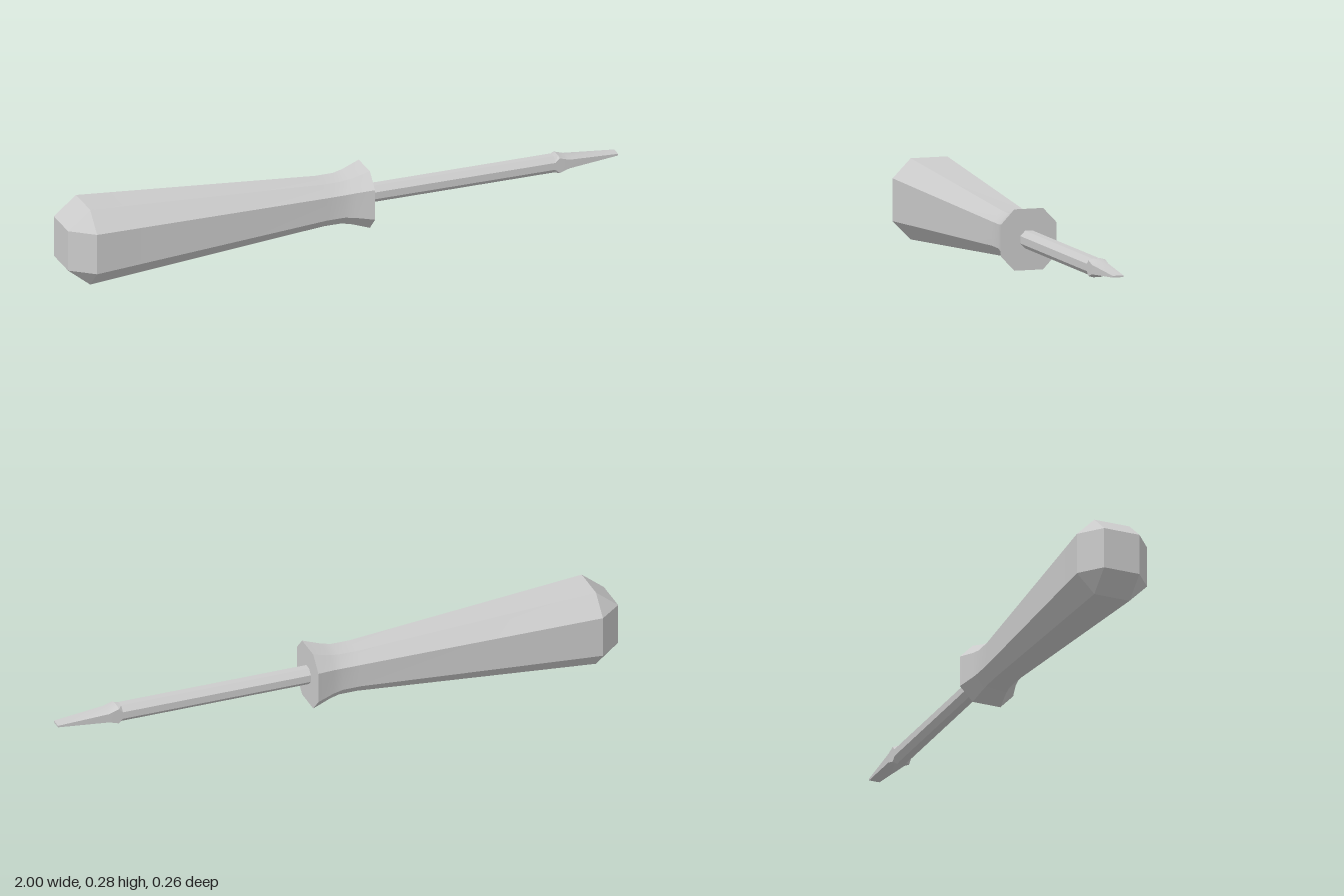
import * as THREE from 'three';
import { toCreasedNormals } from 'three/addons/utils/BufferGeometryUtils.js';

const AXIS_Y = 0.138;

// Eight-sided ring: half height h with flat half width b, half width w with flat half height d
function ring([x, h, b, w, d]) {
  return [[h, -b], [h, b], [d, w], [-d, w], [-h, b], [-h, -b], [-d, -w], [d, -w]]
    .map(([y, z]) => [x, y, z]);
}

// Skin a row of rings running along +x and close both ends
function loft(name, sections, material) {
  const rings = sections.map(ring);
  const pos = [];
  const tri = (...p) => p.forEach((v) => pos.push(...v));
  for (let s = 0; s < rings.length - 1; s++) {
    const a = rings[s], b = rings[s + 1];
    for (let i = 0; i < 8; i++) {
      const j = (i + 1) % 8;
      tri(a[i], a[j], b[i]);
      tri(a[j], b[j], b[i]);
    }
  }
  const first = rings[0], last = rings[rings.length - 1];
  for (let i = 0; i < 8; i++) {
    const j = (i + 1) % 8;
    tri([first[0][0], 0, 0], first[j], first[i]);
    tri([last[0][0], 0, 0], last[i], last[j]);
  }
  const geo = new THREE.BufferGeometry();
  geo.setAttribute('position', new THREE.Float32BufferAttribute(pos, 3));
  const mesh = new THREE.Mesh(toCreasedNormals(geo, 0.4), material);
  mesh.name = name;
  mesh.position.y = AXIS_Y;
  return mesh;
}

export function createModel() {
  const group = new THREE.Group();
  group.name = 'screwdriver';
  const grey = new THREE.MeshStandardMaterial({ color: 0xcccccc });

  // Tapered octagonal handle: square butt, wide grip, narrow neck, flared collar
  group.add(loft('handle', [
    [-1.0, 0.0725, 0.065, 0.065, 0.0725],
    [-0.92, 0.1375, 0.065, 0.129, 0.0725],
    [-0.07, 0.077, 0.038, 0.073, 0.041],
    [-0.005, 0.077, 0.038, 0.073, 0.041],
    [0.03, 0.084, 0.042, 0.079, 0.045],
    [0.093, 0.104, 0.051, 0.098, 0.0545],
  ], grey));

  // Octagonal shaft
  group.add(loft('shaft', [
    [0.08, 0.03, 0.0125, 0.03, 0.0125],
    [0.775, 0.03, 0.0125, 0.03, 0.0125],
  ], grey));

  // Flat blade: shoulder swelling out of the shaft, then a taper to a thin edge
  group.add(loft('blade', [
    [0.77, 0.03, 0.0125, 0.03, 0.0125],
    [0.785, 0.032, 0.0125, 0.03, 0.027],
    [0.82, 0.017, 0.0125, 0.03, 0.016],
    [1.0, 0.003, 0.01, 0.019, 0.003],
  ], grey));

  return group;
}
